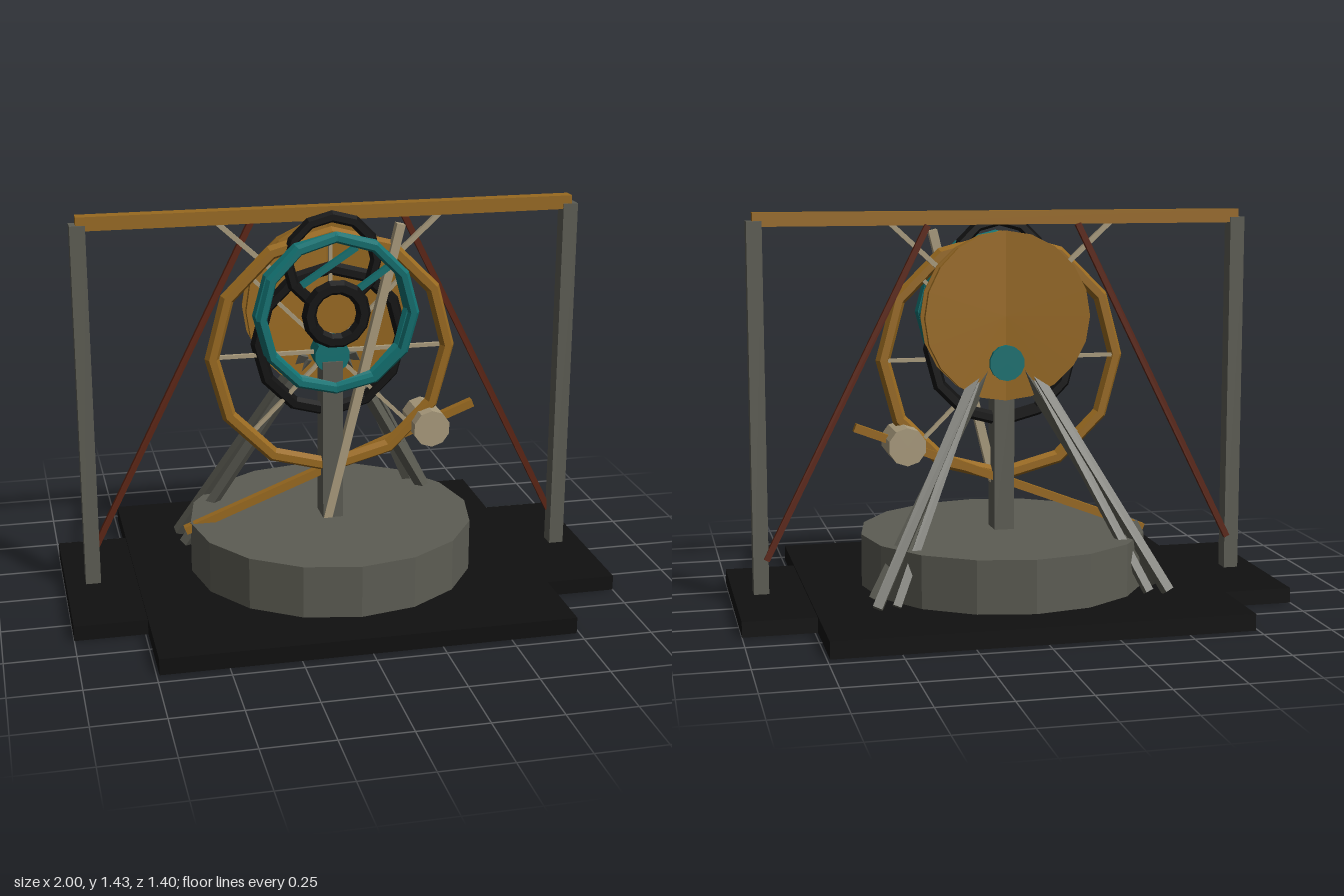
import * as THREE from 'three';

const paint = (name, color) => {
  const m = new THREE.MeshStandardMaterial({ color });
  m.name = name;
  return m;
};

export function createModel() {
  const model = new THREE.Group();
  const black = paint('black', 0x101010);
  const grey = paint('stone grey', 0x5c5c53);
  const ochre = paint('ochre', 0x98691f);
  const teal = paint('teal', 0x117070);
  const rust = paint('rust', 0x5c2412);
  const cream = paint('cream', 0xa89a7c);

  // Faceted mesh helper
  function add(name, geometry, material, x = 0, y = 0, z = 0) {
    const flat = geometry.index ? geometry.toNonIndexed() : geometry;
    flat.computeVertexNormals();
    const mesh = new THREE.Mesh(flat, material);
    mesh.name = name;
    mesh.position.set(x, y, z);
    model.add(mesh);
    return mesh;
  }
  const box = (name, w, h, d, material, x, y, z) =>
    add(name, new THREE.BoxGeometry(w, h, d), material, x, y, z);

  // Square bar running between two points
  function bar(name, a, b, w, d, material) {
    const p = new THREE.Vector3(...a), q = new THREE.Vector3(...b);
    const dir = q.clone().sub(p);
    const mid = p.clone().add(q).multiplyScalar(0.5);
    const mesh = box(name, w, dir.length(), d, material, mid.x, mid.y, mid.z);
    mesh.quaternion.setFromUnitVectors(new THREE.Vector3(0, 1, 0), dir.normalize());
    return mesh;
  }
  const ring = (name, r, tube, sides, material, y, z) =>
    add(name, new THREE.TorusGeometry(r, tube, 6, sides), material, 0, y, z);

  // Cylinder lying along z
  const disc = (name, r, depth, sides, material, x, y, z) =>
    add(name, new THREE.CylinderGeometry(r, r, depth, sides).rotateX(Math.PI / 2), material, x, y, z);

  // Cross-shaped base and round plinth
  box('baseLong', 2, 0.055, 0.76, black, 0, 0.0275, 0);
  box('baseWide', 1.48, 0.06, 1.4, black, 0, 0.03, 0);
  add('plinth', new THREE.CylinderGeometry(0.53, 0.53, 0.195, 16), grey, 0, 0.155, 0);

  // Gantry
  box('topBeam', 1.81, 0.05, 0.05, ochre, 0, 1.405, 0);
  for (const s of [-1, 1]) {
    box('gantryPost', 0.055, 1.345, 0.06, grey, s * 0.9, 0.7275, 0);
    bar('gantryBrace', [s * 0.88, 0.18, -0.028], [s * 0.28, 1.38, -0.028], 0.022, 0.02, rust);
    bar('hanger', [s * 0.41, 1.385, 0], [s * 0.22, 1.21, 0], 0.018, 0.018, cream);

    // Splayed rear legs
    bar('rearLeg', [s * 0.09, 0.87, -0.04], [s * 0.53, 0.07, -0.37], 0.035, 0.035, grey);
    bar('rearLeg', [s * 0.11, 0.82, -0.06], [s * 0.46, 0.07, -0.36], 0.03, 0.03, grey);
    bar('sideLeg', [s * 0.07, 0.85, -0.05], [s * 0.52, 0.07, -0.25], 0.035, 0.035, grey);

    // Crossed dish and crossed front rings
    disc('dish', 0.31, 0.014, 20, ochre, 0, 1.05, -0.058).rotation.y = s * 0.14;
    ring('frontRing', 0.28, 0.021, 12, teal, 1.055, 0.105).rotation.y = s * 0.13;
  }

  // Central column
  box('column', 0.075, 0.62, 0.1, grey, 0, 0.55, 0.008);

  // Large wheel with thin spokes
  ring('wheelRim', 0.44, 0.027, 12, ochre, 0.89, 0.022);
  for (let i = 0; i < 8; i++) {
    const a = i * Math.PI / 4, c = Math.cos(a), s = Math.sin(a);
    bar('wheelSpoke', [c * 0.05, 0.89 + s * 0.05, 0.01],
      [c * 0.43, 0.89 + s * 0.43, 0.01], 0.014, 0.014, cream);
  }

  // Dark rings and hub
  ring('lowerRing', 0.27, 0.025, 12, black, 0.93, 0.002);
  ring('upperRing', 0.163, 0.022, 12, black, 1.233, 0.038);
  ring('hubRing', 0.1, 0.027, 14, black, 1.055, 0.11);
  disc('hub', 0.08, 0.11, 12, ochre, 0, 1.055, 0.02);
  disc('axleCap', 0.065, 0.14, 14, teal, 0, 0.88, -0.02);

  // Small linkage rods behind the front rings
  bar('linkRod', [-0.12, 1.16, 0.08], [0.08, 1.29, 0.08], 0.022, 0.022, teal);
  bar('linkRod', [0.08, 1.13, 0.08], [0.21, 1.22, 0.08], 0.022, 0.022, teal);

  // Slanted pendulum rod
  bar('pendulumRod', [-0.02, 0.25, 0.045], [0.25, 1.36, 0.045], 0.032, 0.034, cream);

  // Balance arm with its weight
  bar('balanceArm', [-0.55, 0.225, 0], [0.55, 0.65, 0], 0.03, 0.03, ochre);
  disc('counterweight', 0.07, 0.18, 10, cream, 0.37, 0.585, 0);

  return model;
}
